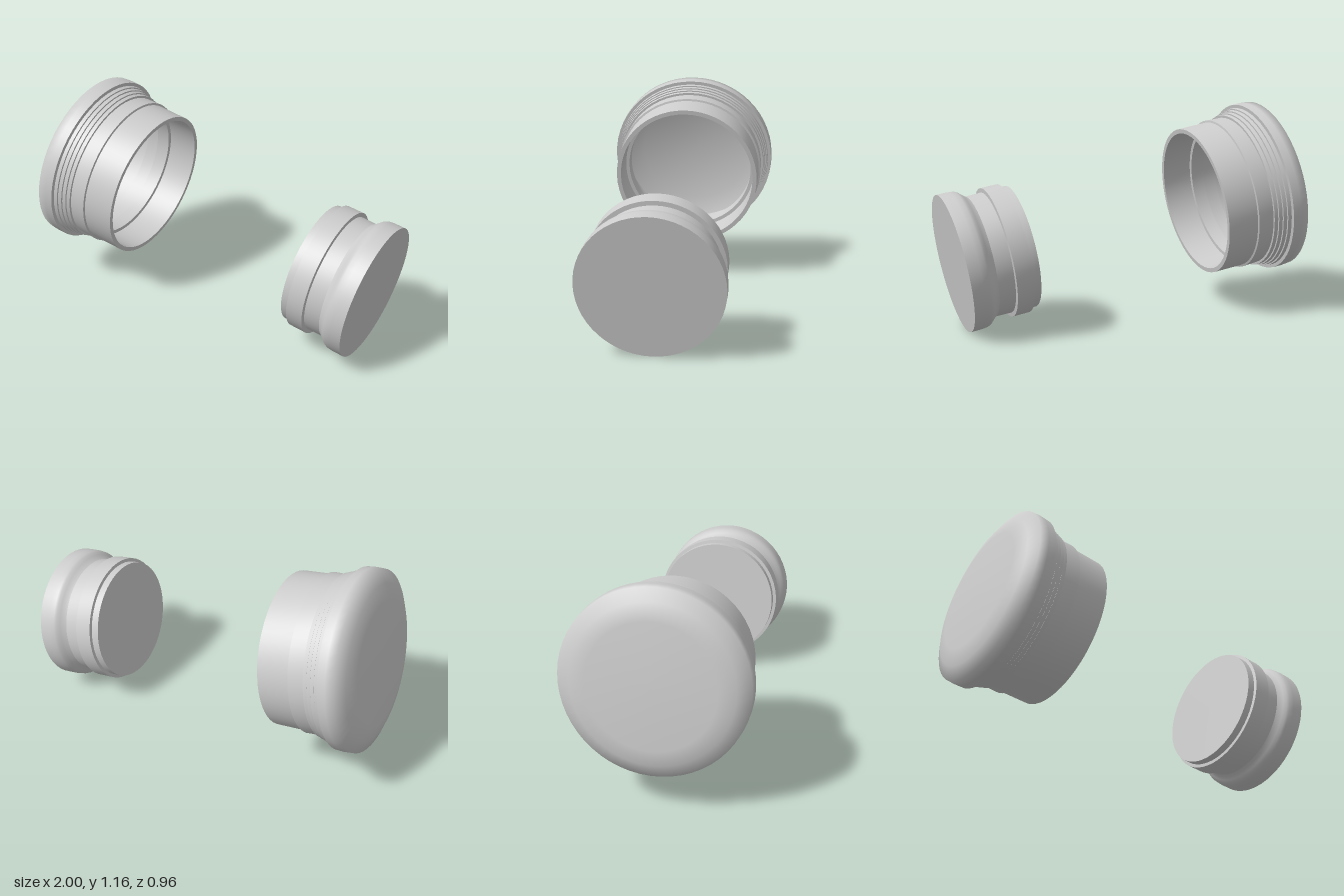
import * as THREE from 'three';
import { toCreasedNormals } from 'three/addons/utils/BufferGeometryUtils.js';

const TILT = THREE.MathUtils.degToRad(10.1);
const SEGMENTS = 56;

export function createModel() {
  const model = new THREE.Group();
  model.name = 'jarLidAndPlug';
  const grey = new THREE.MeshStandardMaterial({ color: 0xcccccc });
  grey.name = 'lightGrey';

  // Each profile point is [radius, distance along the axis]
  function turned(name, profile, creased = true) {
    const points = profile.map(([r, s]) => new THREE.Vector2(r, s));
    let geometry = new THREE.LatheGeometry(points, SEGMENTS);
    if (creased) geometry = toCreasedNormals(geometry, 0.5);
    const mesh = new THREE.Mesh(geometry, grey);
    mesh.name = name;
    return mesh;
  }

  // A group whose local y axis points to +x and slightly down
  function tiltedGroup(name, x, y) {
    const group = new THREE.Group();
    group.name = name;
    group.position.set(x, y, 0);
    group.rotation.z = -Math.PI / 2 - TILT;
    model.add(group);
    return group;
  }

  // Hollow lid, with the open end at s = 0
  const lid = tiltedGroup('lid', -0.4525, 0.6125);
  lid.add(turned('domedCap', [
    [0, -0.502], [0.325, -0.501], [0.41, -0.478], [0.478, -0.446], [0.481, -0.4], [0.479, -0.357],
  ], false));

  // Stepped ribs shrinking towards the collar
  const ribs = [[0.479, -0.357]];
  for (let i = 0; i < 4; i++) {
    const s = -0.357 + i * 0.0235;
    const r = 0.461 - i * 0.0075;
    ribs.push([r - 0.006, s], [r, s + 0.003], [r - 0.002, s + 0.0235]);
  }
  ribs.push([0.424, -0.263]);
  lid.add(turned('ribs', ribs));

  lid.add(turned('collar', [
    [0.424, -0.263], [0.427, -0.175], [0.416, -0.172], [0.414, 0], [0.39, 0],
    [0.388, -0.17], [0.368, -0.172], [0.368, -0.25], [0.4, -0.252], [0.4, -0.34],
    [0.43, -0.345], [0.43, -0.44], [0.325, -0.485], [0, -0.487],
  ]));

  // Solid plug, with the wide end at s = 0
  const plug = tiltedGroup('plug', 0.935, 0.3675);
  plug.add(turned('plugBody', [
    [0, -0.368], [0.33, -0.368], [0.331, -0.328], [0.349, -0.326], [0.349, -0.234],
    [0.326, -0.232], [0.324, -0.146], [0.331, -0.134], [0.345, -0.118], [0.358, -0.104],
    [0.365, -0.09], [0.368, -0.06], [0.368, 0], [0, 0],
  ]));

  return model;
}
